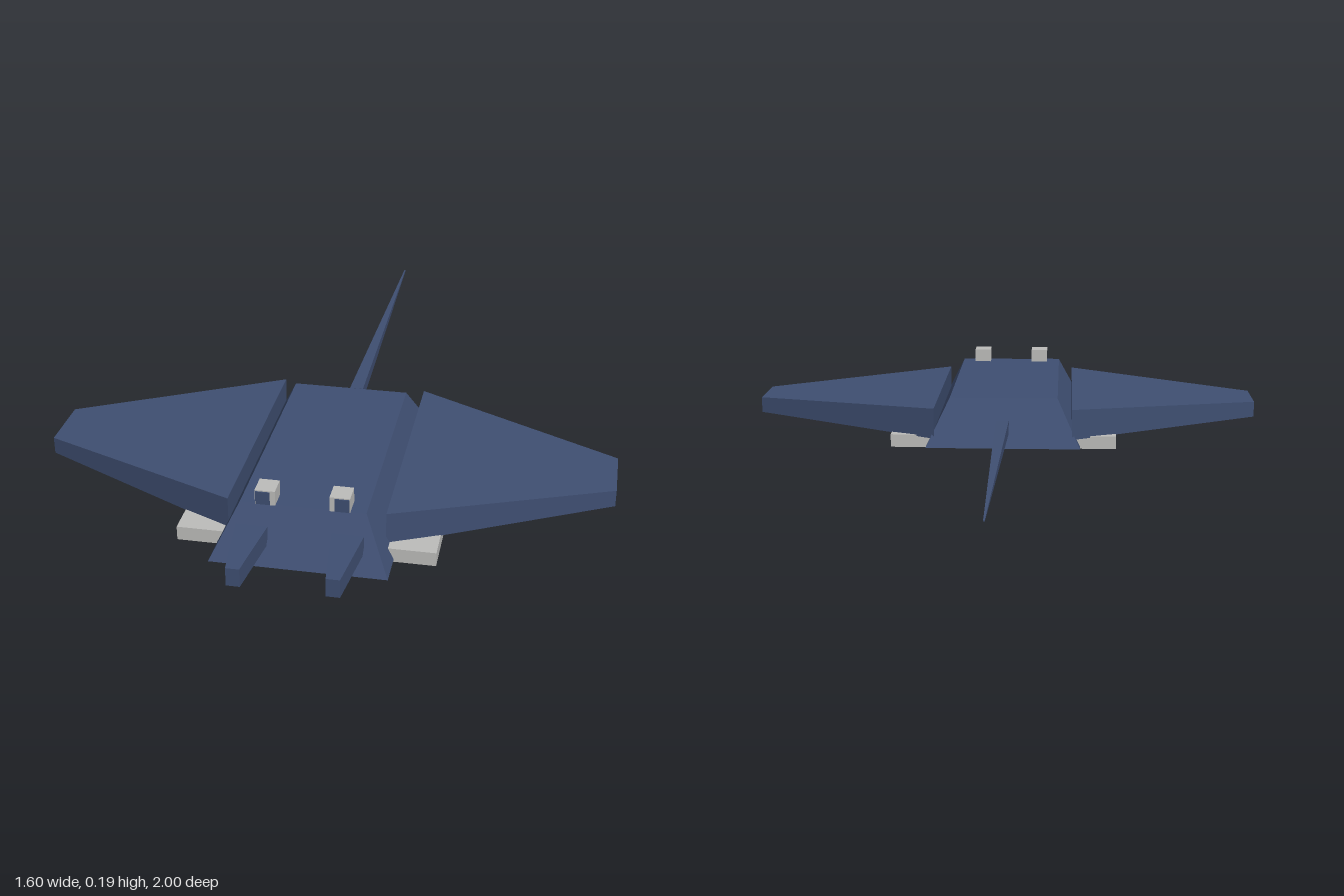
import * as THREE from 'three';

const skin = new THREE.MeshStandardMaterial({ color: 0x3f4f72 });
skin.name = 'slate blue skin';
const pale = new THREE.MeshStandardMaterial({ color: 0xbdbdbb });
pale.name = 'pale grey';

// Box whose two ends along an axis differ: each end is { at, min, max } with
// min/max given for the two other axes in x, y, z order.
function taperedBox(axis, low, high) {
  const geo = new THREE.BoxGeometry(1, 1, 1);
  const pos = geo.attributes.position;
  const others = [0, 1, 2].filter((a) => a !== axis);
  for (let i = 0; i < pos.count; i++) {
    const end = pos.getComponent(i, axis) < 0 ? low : high;
    others.forEach((a, k) => {
      pos.setComponent(i, a, pos.getComponent(i, a) < 0 ? end.min[k] : end.max[k]);
    });
    pos.setComponent(i, axis, end.at);
  }
  geo.computeVertexNormals();
  return geo;
}

function box(x0, x1, y0, y1, z0, z1) {
  return new THREE.BoxGeometry(x1 - x0, y1 - y0, z1 - z0)
    .translate((x0 + x1) / 2, (y0 + y1) / 2, (z0 + z1) / 2);
}

export function createModel() {
  const model = new THREE.Group();
  model.name = 'ray';
  const add = (name, geo, mat) => {
    const mesh = new THREE.Mesh(geo, mat);
    mesh.name = name;
    model.add(mesh);
  };

  // Body with sloping sides, and the flat belly plate under it
  add('body', taperedBox(1,
    { at: 0.008, min: [-0.238, 0], max: [0.238, 0.84] },
    { at: 0.15, min: [-0.168, 0.08], max: [0.168, 0.757] }), skin);
  add('belly', box(-0.35, 0.35, 0, 0.04, 0.043, 0.743), pale);

  // Whip tail tapering backwards
  add('tail', taperedBox(2,
    { at: -1, min: [-0.002, 0.078], max: [0.002, 0.082] },
    { at: -0.015, min: [-0.02, 0.06], max: [0.02, 0.1] }), skin);

  for (const [side, s] of [['left', 1], ['right', -1]]) {
    // Wing, thinner and shorter towards the tip
    const root = { at: s * 0.213, min: [0.033, 0.018], max: [0.128, 0.717] };
    const tip = { at: s * 0.8, min: [0.055, 0.277], max: [0.104, 0.452] };
    add(side + 'Wing', s > 0 ? taperedBox(0, root, tip) : taperedBox(0, tip, root), skin);

    // Head fin narrowing forwards
    const c = s * 0.127;
    add(side + 'HeadFin', taperedBox(2,
      { at: 0.8, min: [c - 0.042, 0.055], max: [c + 0.042, 0.107] },
      { at: 1, min: [c - 0.018, 0.055], max: [c + 0.018, 0.107] }), skin);

    // Raised eye with a thin pupil on its front
    const e = s * 0.099, p = s * 0.105;
    add(side + 'Eye', box(e - 0.027, e + 0.027, 0.15, 0.192, 0.705, 0.763), pale);
    add(side + 'Pupil', box(p - 0.019, p + 0.019, 0.152, 0.189, 0.762, 0.766), skin);
  }
  return model;
}
